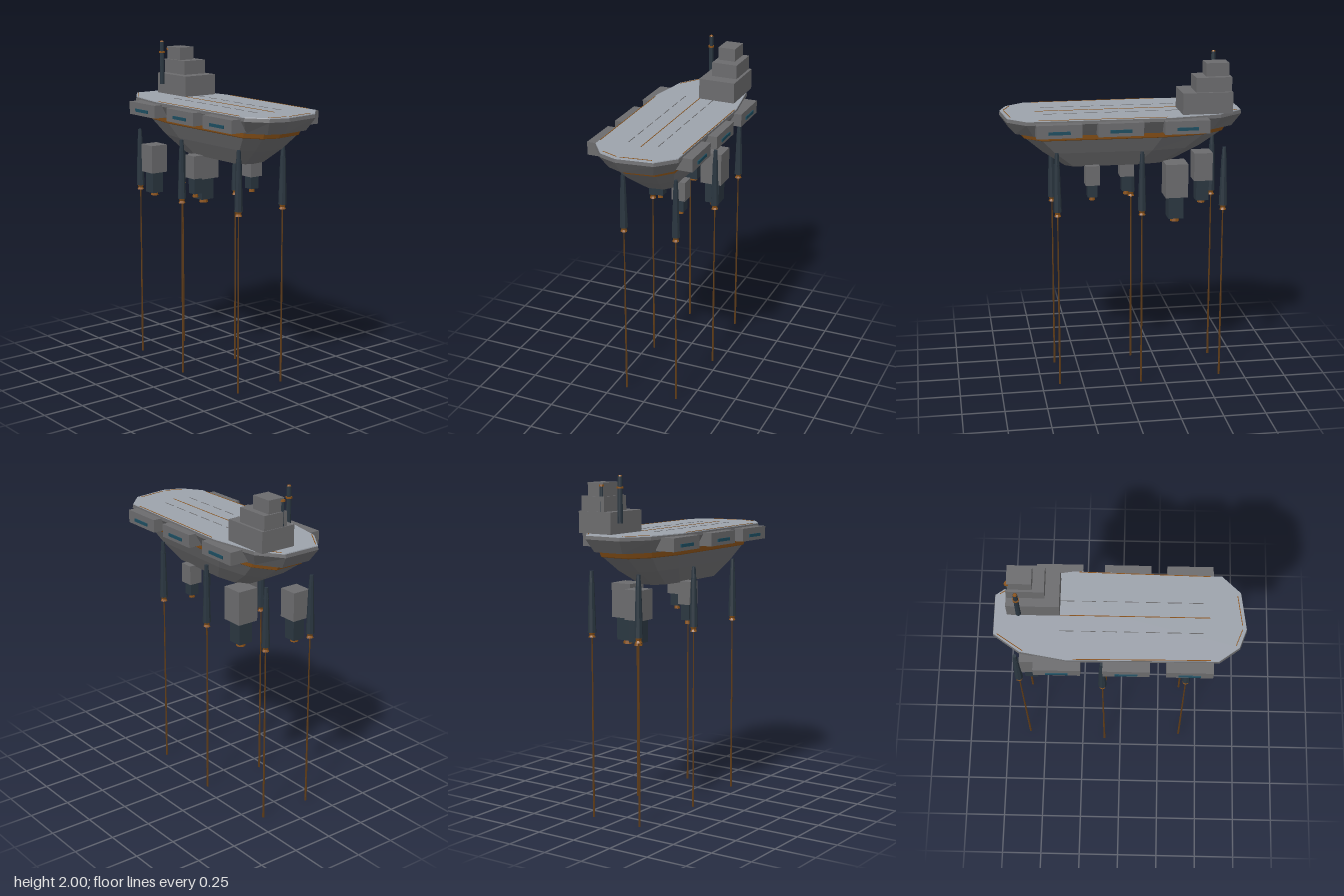
import * as THREE from 'three';

const mat = (color) => new THREE.MeshStandardMaterial({ color, flatShading: true });
const grey = mat(0x6b6b6d), deckGrey = mat(0x9ca2ab), slate = mat(0x2a3640);
const orange = mat(0x8a5218), cableBrown = mat(0x5f3c18), glass = mat(0x1d4d60);

// Deck outline as [x, z], clockwise seen from above
const outline = [
  [-0.71, -0.12], [-0.565, -0.225], [-0.27, -0.275], [0.57, -0.26], [0.675, -0.16], [0.705, 0.06],
  [0.665, 0.17], [0.55, 0.255], [-0.30, 0.265], [-0.56, 0.22], [-0.71, 0.115],
];

// Ring of the outline: height, scale along x and z, shift along x
const ring = ([y, sx, sz, dx = 0]) => outline.map(([x, z]) => [x * sx + dx, y, z * sz]);

// Skin between rings listed from bottom to top, with optional flat caps
function loft(levels, capBottom, capTop) {
  const rings = levels.map(ring), n = outline.length, pos = [];
  const tri = (...pts) => pts.forEach((p) => pos.push(...p));
  for (let k = 0; k < rings.length - 1; k++) {
    for (let i = 0; i < n; i++) {
      const j = (i + 1) % n, a = rings[k], b = rings[k + 1];
      tri(a[i], b[i], a[j]);
      tri(a[j], b[i], b[j]);
    }
  }
  const top = rings[rings.length - 1], bottom = rings[0];
  for (let i = 0; i < n; i++) {
    const j = (i + 1) % n;
    if (capTop) tri([0, top[0][1], 0], top[j], top[i]);
    if (capBottom) tri([0, bottom[0][1], 0], bottom[i], bottom[j]);
  }
  const g = new THREE.BufferGeometry();
  g.setAttribute('position', new THREE.Float32BufferAttribute(pos, 3));
  g.computeVertexNormals();
  return g;
}

function add(parent, name, geometry, material, x = 0, y = 0, z = 0) {
  const m = new THREE.Mesh(geometry, material);
  m.name = name;
  m.position.set(x, y, z);
  parent.add(m);
  return m;
}

// Box given by its limits
const block = (parent, name, material, x0, x1, y0, y1, z0, z1) =>
  add(parent, name, new THREE.BoxGeometry(x1 - x0, y1 - y0, z1 - z0), material,
    (x0 + x1) / 2, (y0 + y1) / 2, (z0 + z1) / 2);

// Upright tapered cylinder between two heights
const rod = (parent, name, material, x, z, y0, y1, r0, r1, sides = 8) =>
  add(parent, name, new THREE.CylinderGeometry(r1, r0, y1 - y0, sides), material, x, (y0 + y1) / 2, z);

// Thin painted line on the deck
function deckLine(parent, material, x0, z0, x1, z1) {
  const length = Math.hypot(x1 - x0, z1 - z0);
  const m = add(parent, 'deckLine', new THREE.BoxGeometry(length, 0.004, 0.004), material,
    (x0 + x1) / 2, 1.67, (z0 + z1) / 2);
  m.rotation.y = -Math.atan2(z1 - z0, x1 - x0);
}

export function createModel() {
  const model = new THREE.Group();
  model.name = 'floatingPlatform';

  // Hull, orange belt, flared rim and deck
  add(model, 'lowerHull', loft([[1.355, 0.45, 0.40, 0.03], [1.45, 0.675, 0.60, 0.01], [1.54, 0.84, 0.75]], true), grey);
  add(model, 'hullBelt', loft([[1.535, 0.83, 0.745], [1.54, 0.85, 0.77], [1.568, 0.87, 0.79]]), orange);
  add(model, 'rim', loft([[1.568, 0.86, 0.78], [1.57, 0.925, 0.83], [1.645, 1, 1], [1.665, 0.995, 0.99]]), grey);
  add(model, 'deck', loft([[1.665, 0.995, 0.99], [1.67, 0.993, 0.985]], false, true), deckGrey);

  // Deck markings
  deckLine(model, orange, -0.34, -0.003, 0.5, -0.003);
  for (const z of [-0.09, 0.09]) {
    for (let i = 0; i < 7; i++) deckLine(model, grey, -0.34 + i * 0.12, z, -0.26 + i * 0.12, z);
  }
  [
    [-0.24, -0.267, 0.5, -0.255], [-0.26, 0.257, 0.5, 0.248], [-0.68, -0.125, -0.6, -0.178],
    [-0.685, 0.115, -0.54, 0.212], [0.652, -0.14, 0.678, 0.04], [0.678, 0.06, 0.64, 0.16],
  ].forEach((line) => deckLine(model, orange, ...line));

  // Side pods with window strips
  for (const side of [-1, 1]) {
    for (const x of [-0.35, 0.035, 0.388]) {
      const pod = new THREE.Group();
      pod.name = 'sidePod';
      pod.position.set(x, 1.617, side * 0.26);
      add(pod, 'podBody', new THREE.BoxGeometry(0.262, 0.077, 0.12), grey);
      add(pod, 'podWindow', new THREE.BoxGeometry(0.125, 0.018, 0.01), glass, 0, -0.008, side * 0.061);
      model.add(pod);
    }
  }

  // Stepped control tower
  block(model, 'towerBase', grey, -0.635, -0.34, 1.67, 1.795, -0.225, 0);
  block(model, 'towerMiddle', grey, -0.63, -0.42, 1.795, 1.88, -0.208, -0.05);
  block(model, 'towerTop', grey, -0.62, -0.485, 1.88, 1.957, -0.17, -0.063);

  // Mast and small antenna
  rod(model, 'mast', slate, -0.566, 0.016, 1.73, 1.993, 0.015, 0.013);
  rod(model, 'mastCollar', orange, -0.566, 0.016, 1.925, 1.935, 0.019, 0.019);
  rod(model, 'mastCap', orange, -0.566, 0.016, 1.993, 2.0, 0.012, 0.008);
  rod(model, 'antenna', slate, -0.62, -0.073, 1.79, 1.94, 0.011, 0.01);
  rod(model, 'antennaCap', orange, -0.62, -0.073, 1.935, 1.947, 0.015, 0.013);

  // Tethers: tapered housing, collar and long cable
  for (const side of [-1, 1]) {
    for (const [x, z] of [[-0.602, 0.165], [-0.105, 0.205], [0.39, 0.165]]) {
      const tether = new THREE.Group();
      tether.name = 'tether';
      tether.position.set(x, 0, side * z);
      rod(tether, 'housingTop', slate, 0, 0, 1.39, 1.455, 0.015, 0.011);
      rod(tether, 'housing', slate, 0, 0, 1.1, 1.39, 0.025, 0.016);
      rod(tether, 'collar', orange, 0, 0, 1.085, 1.1, 0.014, 0.02);
      rod(tether, 'nozzle', orange, 0, 0, 1.072, 1.085, 0.021, 0.014);
      rod(tether, 'cable', cableBrown, 0, 0, 0, 1.075, 0.007, 0.004, 6);
      model.add(tether);
    }
  }

  // Hanging thrusters: x, z, half width, body bottom, dark block bottom, nozzle bottom
  for (const [x, z, h, y1, y2, y3] of [
    [-0.528, 0.11, 0.057, 1.19, 1.06, 1.04], [-0.318, -0.118, 0.067, 1.16, 1.025, 1.0],
    [-0.063, 0.135, 0.042, 1.225, 1.13, 1.105], [0.178, -0.105, 0.042, 1.245, 1.17, 1.148],
  ]) {
    const d = h * 0.68, thruster = new THREE.Group();
    thruster.name = 'thruster';
    block(thruster, 'thrusterBody', grey, x - h, x + h, y1, 1.363, z - h, z + h);
    block(thruster, 'thrusterBlock', slate, x - d, x + d, y2, y1, z - d, z + d);
    rod(thruster, 'thrusterNozzle', orange, x, z, y3, y2, h * 0.42, h * 0.36);
    model.add(thruster);
  }
  return model;
}
